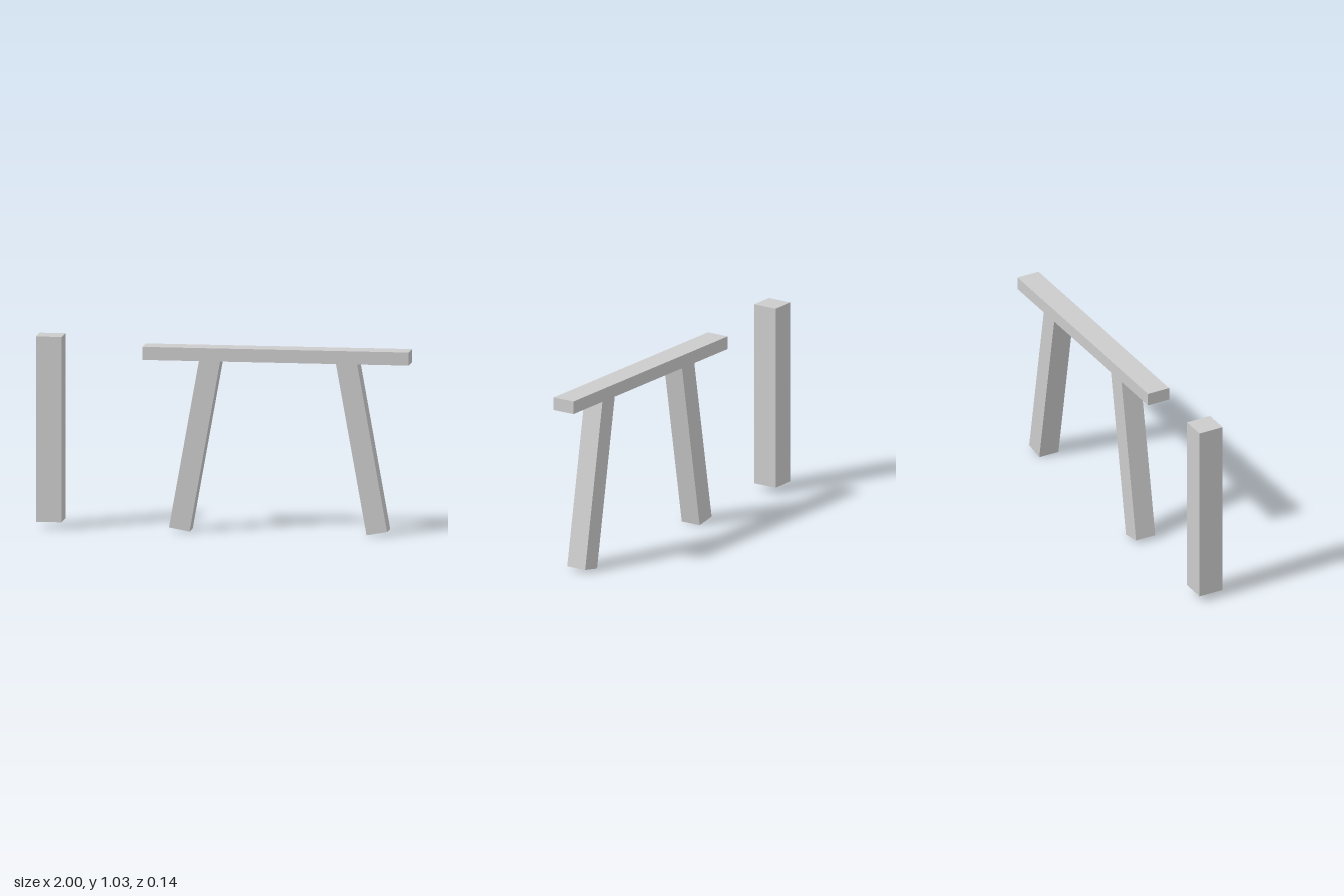
import * as THREE from 'three';

export function createModel() {
  const model = new THREE.Group();
  const material = new THREE.MeshStandardMaterial({ color: 0xcccccc, flatShading: true });

  function addBox(name, size, position, tilt = 0) {
    const mesh = new THREE.Mesh(new THREE.BoxGeometry(...size), material);
    mesh.name = name;
    mesh.position.set(...position);
    mesh.rotation.z = tilt;
    model.add(mesh);
  }

  // Separate upright post
  addBox('post', [0.138, 0.995, 0.139], [-0.931, 0.535, 0]);

  // Horizontal beam of the trestle
  addBox('beam', [1.428, 0.07, 0.128], [0.286, 0.953, 0]);

  // Splayed legs, their tops sunk into the beam
  const length = 0.954, tilt = 0.177, centre = 0.298, footOffset = 0.53;
  for (const side of [-1, 1]) {
    const x = centre + side * (footOffset - Math.sin(tilt) * length / 2);
    const y = 0.011 + Math.cos(tilt) * length / 2;
    addBox(side < 0 ? 'rightLeg' : 'leftLeg', [0.112, length, 0.116], [x, y, 0], side * tilt);
  }

  return model;
}
